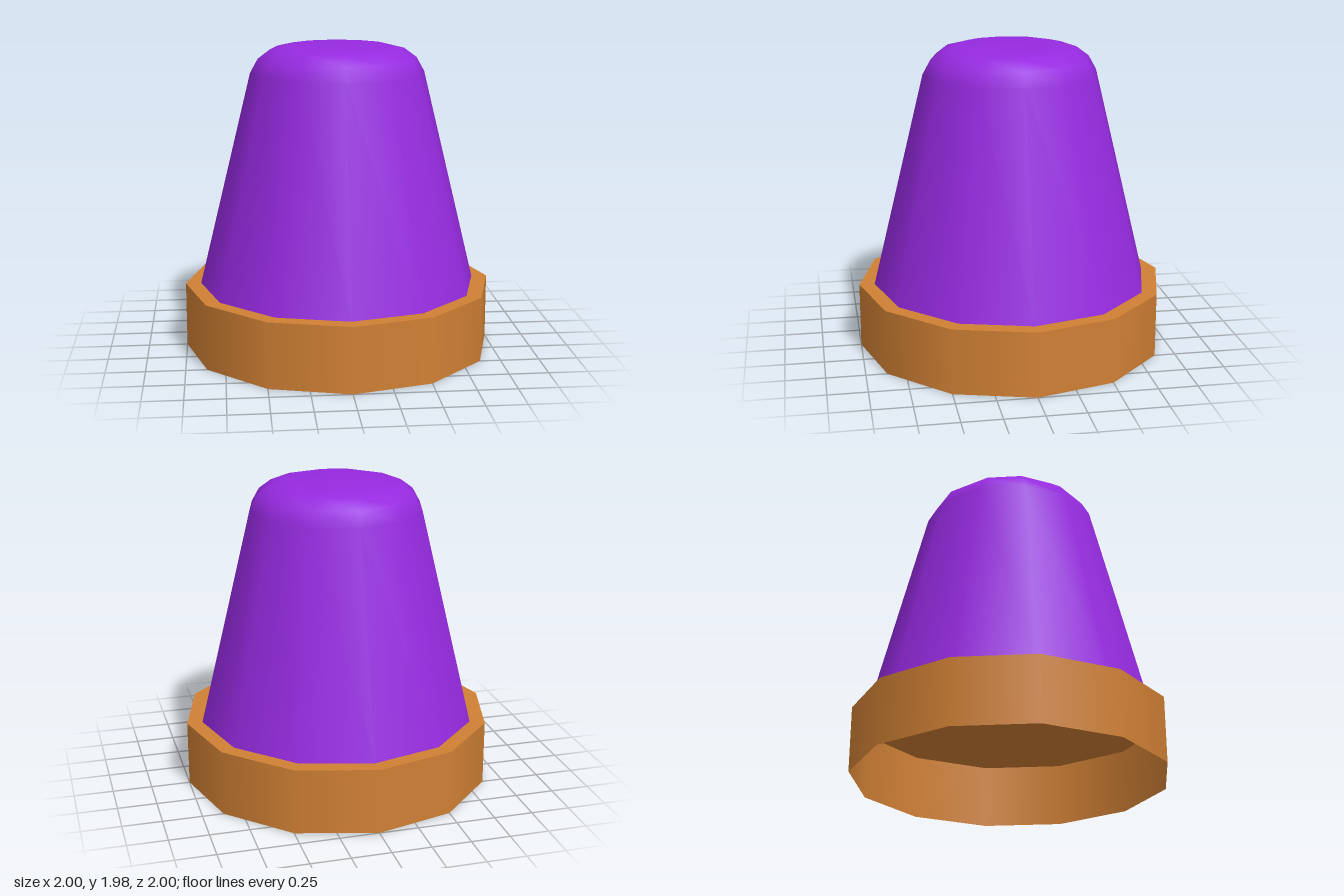
import * as THREE from 'three';

const SIDES = 12;
const RIM_HEIGHT = 0.42;

function lathe(name, profile, material) {
  const points = profile.map(([r, y]) => new THREE.Vector2(r, y));
  const mesh = new THREE.Mesh(new THREE.LatheGeometry(points, SIDES), material);
  mesh.name = name;
  return mesh;
}

export function createModel() {
  const group = new THREE.Group();
  group.name = 'taperedCap';

  const orange = new THREE.MeshStandardMaterial({ color: 0xd08034, side: THREE.DoubleSide });
  const purple = new THREE.MeshStandardMaterial({ color: 0x962ae0, side: THREE.DoubleSide });

  // Thin wall of the rim, open underneath
  group.add(lathe('rimWall', [[1, 0], [1, RIM_HEIGHT]], orange));

  // Flat plate closing the top of the rim
  group.add(lathe('rimPlate', [[1, RIM_HEIGHT], [0, RIM_HEIGHT]], orange));

  // Tapered body with a rounded shoulder and flat top
  group.add(lathe('body', [
    [0.9, RIM_HEIGHT], [0.56, 1.8], [0.51, 1.89], [0.43, 1.95], [0.325, 1.975], [0, 1.975],
  ], purple));

  return group;
}
